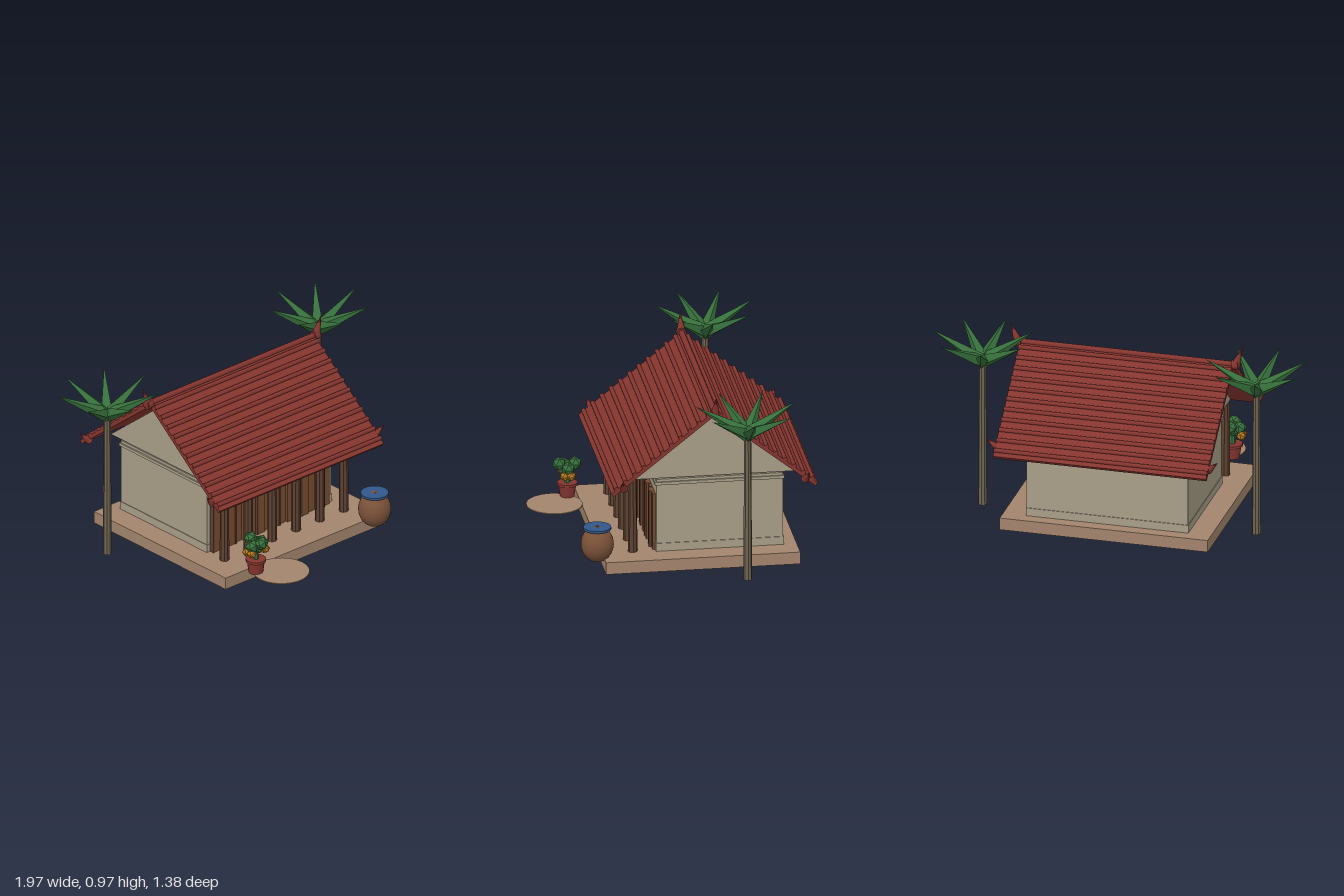
import * as THREE from 'three';

const mat = (name, color) => {
  const m = new THREE.MeshStandardMaterial({ color });
  m.name = name;
  return m;
};

export function createModel() {
  const M = {
    stone: mat('terrace tan', 0xa3846d),
    wall: mat('plaster', 0xa89f88),
    roof: mat('roof red', 0x85352f),
    wood: mat('post brown', 0x5c4030),
    plank: mat('plank brown', 0x75492f),
    trunk: mat('palm trunk', 0x6e6350),
    leaf: mat('leaf green', 0x37703c),
    clay: mat('jar clay', 0x7a5138),
    blue: mat('lid blue', 0x30588a),
    orange: mat('blossom orange', 0xb87a22),
  };
  for (const k of ['trunk', 'leaf', 'wood', 'orange']) M[k].flatShading = true;

  const model = new THREE.Group();
  model.name = 'house';
  const group = (name) => {
    const g = new THREE.Group();
    g.name = name;
    model.add(g);
    return g;
  };
  const add = (name, geo, m, x = 0, y = 0, z = 0, parent = model) => {
    const mesh = new THREE.Mesh(geo, m);
    mesh.name = name;
    mesh.position.set(x, y, z);
    parent.add(mesh);
    return mesh;
  };
  // Box given by its min and max corners
  const box = (name, m, [x0, y0, z0], [x1, y1, z1], parent) =>
    add(name, new THREE.BoxGeometry(x1 - x0, y1 - y0, z1 - z0), m,
      (x0 + x1) / 2, (y0 + y1) / 2, (z0 + z1) / 2, parent);
  // Cone running from a base point to a tip
  const spike = (name, m, base, tip, r, sides, parent) => {
    const a = new THREE.Vector3(...base), d = new THREE.Vector3(...tip).sub(a), len = d.length();
    const geo = new THREE.ConeGeometry(r, len, sides).translate(0, len / 2, 0);
    const mesh = add(name, geo, m, ...base, parent);
    mesh.quaternion.setFromUnitVectors(new THREE.Vector3(0, 1, 0), d.normalize());
    return mesh;
  };

  // Terrace and round stepping stone
  box('terrace', M.stone, [-0.565, 0, -0.6], [0.543, 0.065, 0.41]);
  add('steppingStone', new THREE.CylinderGeometry(0.145, 0.145, 0.005, 40), M.stone, -0.305, 0.07, 0.55);

  // Walls with base and top mouldings
  box('walls', M.wall, [-0.44, 0.065, -0.53], [0.418, 0.46, 0.13]);
  box('topMoulding', M.wall, [-0.448, 0.43, -0.535], [0.426, 0.446, 0.138]);
  box('baseMoulding', M.wall, [-0.444, 0.065, -0.534], [0.422, 0.108, 0.132]);

  // Gable plates at both ends
  const ridgeZ = -0.153;
  const tri = new THREE.Shape([
    new THREE.Vector2(-0.454, 0.467), new THREE.Vector2(0.454, 0.467), new THREE.Vector2(0, 0.83),
  ]);
  for (const x of [-0.442, 0.39]) {
    const geo = new THREE.ExtrudeGeometry(tri, { depth: 0.03, bevelEnabled: false });
    add('gable', geo.rotateY(Math.PI / 2), M.wall, x, 0, ridgeZ);
  }

  // Plank front
  const front = group('plankFront');
  const count = 16, x0 = -0.415, step = 0.81 / count;
  for (let i = 0; i < count; i++) {
    const x = x0 + i * step, out = i % 2 ? 0.145 : 0.155;
    box('plank', M.plank, [x + 0.002, 0.065, 0.125], [x + step - 0.002, 0.372, out], front);
    if (i % 3 === 0) box('plankBatten', M.wood, [x - 0.006, 0.065, 0.125], [x + 0.006, 0.372, 0.158], front);
  }

  // Veranda posts
  const posts = group('verandaPosts');
  for (let i = 0; i < 6; i++)
    add('post', new THREE.CylinderGeometry(0.023, 0.025, 0.402, 8), M.wood, -0.428 + i * 0.165, 0.266, 0.25, posts);
  box('verandaBeam', M.wood, [-0.44, 0.455, 0.235], [0.418, 0.48, 0.265], posts);

  // Two ribbed roof slopes
  const roof = group('roof'), cx = -0.0125, width = 1.135;
  const slope = Math.atan2(0.425, 0.535), len = 0.685;
  for (const s of [1, -1]) {
    const side = new THREE.Group();
    side.name = s > 0 ? 'frontSlope' : 'backSlope';
    side.position.set(cx, 0.873, ridgeZ);
    side.rotation.set(slope, 0, 0);
    if (s < 0) side.rotation.set(slope, Math.PI, 0, 'YXZ');
    roof.add(side);
    box('roofSheet', M.roof, [-width / 2, -0.02, 0], [width / 2, 0, len], side);
    for (let i = 0; i < 11; i++) {
      const rib = add('roofRib', new THREE.CylinderGeometry(0.012, 0.012, width, 8), M.roof, 0, 0.002, 0.04 + i * 0.061, side);
      rib.rotation.z = Math.PI / 2;
    }
  }
  const ridge = add('ridgeCap', new THREE.CylinderGeometry(0.016, 0.016, width, 8), M.roof, cx, 0.868, ridgeZ, roof);
  ridge.rotation.z = Math.PI / 2;

  // Horn finials on the ridge and eave ends
  for (const s of [1, -1]) {
    const knob = add('ridgeKnob', new THREE.CylinderGeometry(0.026, 0.026, 0.035, 8), M.roof, cx + s * 0.578, 0.866, ridgeZ, roof);
    knob.rotation.z = Math.PI / 2;
    spike('ridgeHorn', M.roof, [cx + s * 0.578, 0.86, ridgeZ], [cx + s * 0.618, 0.968, ridgeZ], 0.026, 8, roof);
    for (const e of [1, -1])
      spike('eaveHorn', M.roof, [cx + s * 0.56, 0.468, ridgeZ + e * 0.47],
        [cx + s * 0.618, 0.525, ridgeZ + e * 0.488], 0.022, 8, roof);
  }

  // Palm trees with seven pointed fronds each
  for (const x of [-0.743, 0.716]) {
    const palm = group('palm');
    palm.position.set(x, 0, -0.3);
    add('trunk', new THREE.CylinderGeometry(0.018, 0.023, 0.825, 8), M.trunk, 0, 0.4125, 0, palm);
    for (let i = 0; i < 7; i++) {
      const a = (i / 7) * Math.PI * 2;
      spike('frond', M.leaf, [0, 0.8, 0], [Math.cos(a) * 0.27, 0.945, Math.sin(a) * 0.27], 0.04, 4, palm);
    }
  }

  // Water jar with lid
  const jar = add('jar', new THREE.SphereGeometry(0.085, 32, 20), M.clay, 0.44, 0.133, 0.44);
  jar.scale.y = 1.13;
  add('jarLid', new THREE.CylinderGeometry(0.072, 0.072, 0.012, 32), M.blue, 0.44, 0.221, 0.44);
  add('lidKnob', new THREE.CylinderGeometry(0.01, 0.01, 0.004, 12), M.clay, 0.44, 0.228, 0.44);

  // Potted plant
  const plant = group('pottedPlant');
  plant.position.set(-0.407, 0, 0.467);
  add('pot', new THREE.CylinderGeometry(0.048, 0.037, 0.075, 16), M.roof, 0, 0.106, 0, plant);
  add('potRim', new THREE.CylinderGeometry(0.053, 0.053, 0.014, 16), M.roof, 0, 0.14, 0, plant);
  add('stem', new THREE.CylinderGeometry(0.012, 0.015, 0.08, 6), M.leaf, 0, 0.18, 0, plant);
  const blob = new THREE.IcosahedronGeometry(0.036, 0);
  for (const [x, y, z] of [[0, 0.25, -0.04], [0, 0.25, 0.043], [-0.036, 0.232, 0.012], [0.036, 0.232, 0], [0, 0.215, 0.01]])
    add('foliage', blob, M.leaf, x, y, z, plant);
  const bloom = new THREE.IcosahedronGeometry(0.026, 0);
  for (const [x, z] of [[-0.05, -0.012], [0.05, -0.012], [-0.045, 0.02], [0.045, 0.02]])
    add('blossom', bloom, M.orange, x, 0.197, z, plant);

  return model;
}
